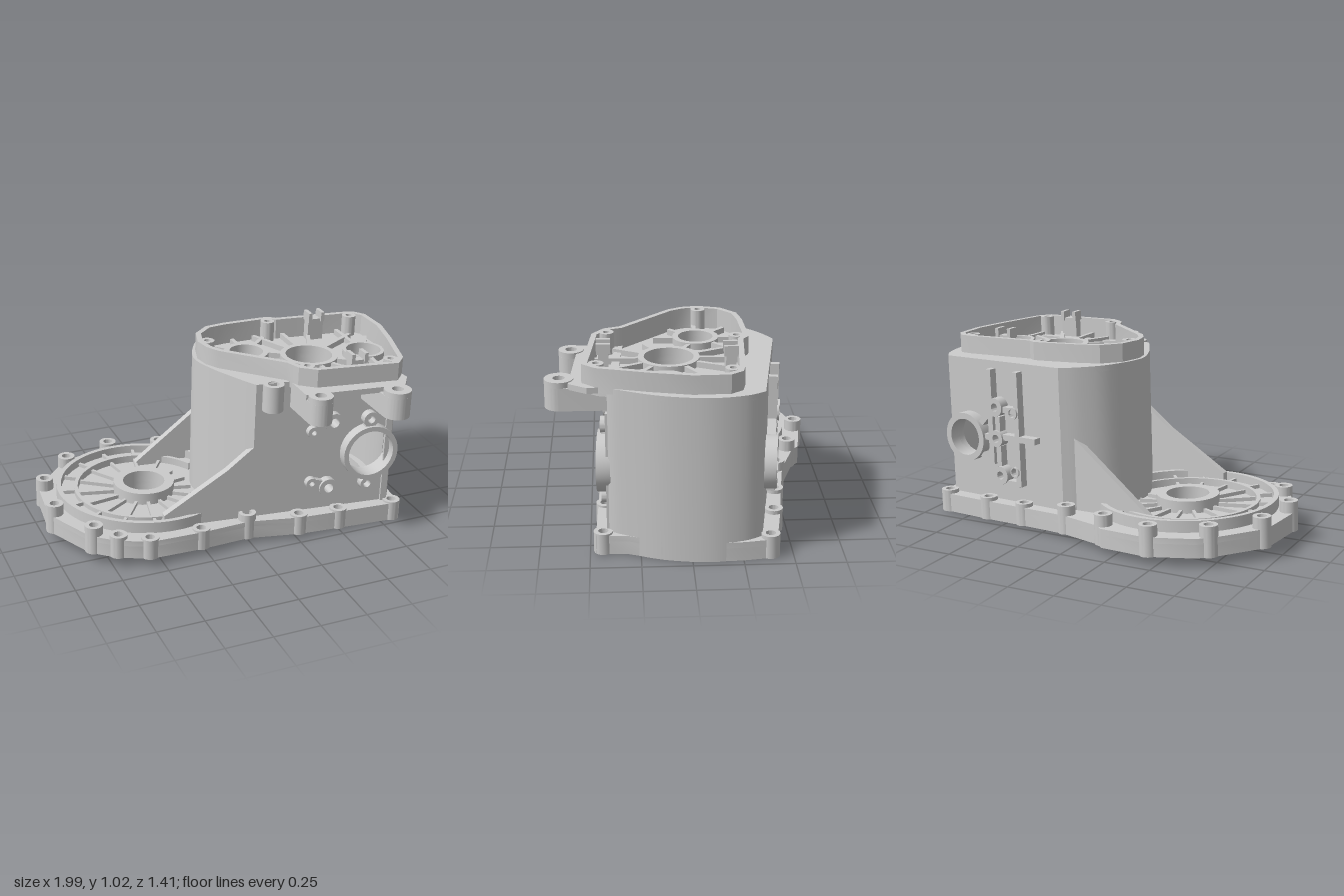
import * as THREE from 'three';
import { toCreasedNormals } from 'three/addons/utils/BufferGeometryUtils.js';

const mat = new THREE.MeshStandardMaterial({ color: 0xcccccc, side: THREE.DoubleSide });
const V = (x, y) => new THREE.Vector2(x, y);
const pts = (a) => a.map(([x, y]) => V(x, y));

function mesh(parent, name, geo) {
  const m = new THREE.Mesh(geo, mat);
  m.name = name;
  parent.add(m);
  return m;
}

function circle(x, y, r, from = 0, to = 360, n = 32) {
  const out = [], full = to - from === 360;
  for (let i = 0; i < (full ? n : n + 1); i++) {
    const a = THREE.MathUtils.degToRad(from + (to - from) * i / n);
    out.push(V(x + r * Math.cos(a), y + r * Math.sin(a)));
  }
  return out;
}

// Moves every corner of a closed outline inward by d (outward if negative)
function inset(poly, d) {
  const s = Math.sign(THREE.ShapeUtils.area(poly)), n = poly.length;
  const normal = (a, b) => V(-(b.y - a.y), b.x - a.x).normalize().multiplyScalar(s);
  return poly.map((p, i) => {
    const n1 = normal(poly[(i + n - 1) % n], p), n2 = normal(p, poly[(i + 1) % n]);
    return p.clone().addScaledVector(n1.clone().add(n2), d / (1 + n1.dot(n2)));
  });
}

// Outline with holes, extruded along z from a to b
function solid(outline, holes, a, b) {
  const shape = new THREE.Shape(outline);
  shape.holes = holes.map((h) => new THREE.Path(h));
  const geo = new THREE.ExtrudeGeometry(shape, { depth: b - a, bevelEnabled: false });
  return toCreasedNormals(geo.translate(0, 0, a), 0.5);
}

// Plan outline in (x, z), extruded upward from y0 to y1
function prism(parent, name, outline, holes, y0, y1) {
  const flip = (l) => l.map((p) => V(p.x, -p.y));
  return mesh(parent, name, solid(flip(outline), holes.map(flip), y0, y1).rotateX(-Math.PI / 2));
}
const tube = (parent, name, x, z, r, hole, y0, y1) =>
  prism(parent, name, circle(x, z, r), [circle(x, z, hole)], y0, y1);

// Straight rib leaving (x, z) at an angle in plan
function rib(parent, name, x, z, deg, r0, r1, y0, y1, w = 0.016) {
  const a = THREE.MathUtils.degToRad(deg), r = (r0 + r1) / 2;
  const m = mesh(parent, name, new THREE.BoxGeometry(r1 - r0, y1 - y0, w));
  m.position.set(x + r * Math.cos(a), (y0 + y1) / 2, z + r * Math.sin(a));
  m.rotation.y = -a;
}

// Upright wall from p0 to p1, built in its own frame with z pointing outward
function wallPanel(parent, name, p0, p1, outline, holes) {
  const g = new THREE.Group();
  g.name = name;
  g.position.set(p0.x, 0, p0.y);
  g.rotation.y = Math.atan2(p0.y - p1.y, p1.x - p0.x);
  mesh(g, name + 'Plate', solid(pts(outline), holes.map((h) => circle(...h)), -0.04, 0));
  parent.add(g);
  return g;
}
const wallBoss = (g, name, u, y, r, hole, h) =>
  mesh(g, name, solid(circle(u, y, r), [circle(u, y, hole)], -0.01, h));
function wallBar(g, name, u0, y0, u1, y1, w, h) {
  const m = mesh(g, name, new THREE.BoxGeometry(Math.hypot(u1 - u0, y1 - y0), w, h));
  m.position.set((u0 + u1) / 2, (y0 + y1) / 2, h / 2);
  m.rotation.z = Math.atan2(y1 - y0, u1 - u0);
}

export function createModel() {
  const root = new THREE.Group();
  root.name = 'gearboxHousing';
  const g = new THREE.Group();
  g.name = 'housing';
  g.rotation.z = -0.031;
  g.position.y = 0.03;
  root.add(g);

  // Plan outline of the tall body
  const left = new THREE.SplineCurve(pts([[0.14, -0.46], [0.04, -0.4], [-0.07, -0.29], [-0.15, -0.1],
    [-0.12, 0.06], [-0.03, 0.26], [0.02, 0.35]])).getPoints(24);
  const right = new THREE.SplineCurve(pts([[0.8, 0.405], [0.845, 0.34], [0.93, 0.14], [0.965, -0.08],
    [0.94, -0.25], [0.89, -0.345]])).getPoints(20);
  const body = [...left, ...right], inner = inset(body, 0.04), nl = left.length;
  prism(g, 'bodyLeftWall', [...left, ...inner.slice(0, nl).reverse()], [], 0.07, 0.86);
  prism(g, 'bodyRightWall', [...right, ...inner.slice(nl).reverse()], [], 0, 0.86);

  // Bolt flange: x, z and boss height; height 0 marks a plain corner
  const bolts = [[-0.45, -0.66, 0.16], [-0.2, -0.625, 0], [-0.165, -0.59, 0.16], [0.1, -0.5, 0.15],
    [0.38, -0.46, 0.12], [0.62, -0.43, 0.12], [0.9, -0.385, 0.12], [0.92, -0.25, 0], [0.928, -0.08, 0],
    [0.893, 0.14, 0], [0.83, 0.3, 0], [0.82, 0.435, 0.11], [0.5, 0.425, 0.11], [0.27, 0.415, 0.11],
    [-0.01, 0.365, 0.14], [-0.28, 0.39, 0.11], [-0.565, 0.395, 0.11], [-0.715, 0.33, 0.12],
    [-0.82, 0.245, 0.15], [-0.95, -0.03, 0.16], [-0.92, -0.33, 0.16], [-0.73, -0.555, 0.16],
    [-0.67, -0.595, 0]];
  const flange = inset(pts(bolts), -0.035);
  const bosses = bolts.filter((b) => b[2]);
  const boltHoles = bosses.map(([x, z]) => circle(x, z, 0.025, 0, 360, 20));
  const cx = -0.42, cz = -0.117;
  prism(g, 'flangeSkirt', flange, [inset(flange, 0.075), ...boltHoles], 0, 0.07);
  prism(g, 'flangePlate', flange, [inset(body, 0.03), circle(cx, cz, 0.113), ...boltHoles], 0.07, 0.1);
  bosses.forEach(([x, z, h]) => tube(g, 'flangeBoss', x, z, 0.047, 0.025, 0, h));

  // Round clutch cover: concentric rings, hub and ribs on both faces
  const ring = (name, r0, r1, from, to, y0, y1) => prism(g, name,
    [...circle(cx, cz, r1, from, to, 64), ...circle(cx, cz, r0, from, to, 64).reverse()], [], y0, y1);
  ring('coverRim', 0.45, 0.476, 38, 328, 0.09, 0.16);
  ring('coverStep', 0.372, 0.45, 32, 333, 0.09, 0.115);
  ring('coverInnerRing', 0.36, 0.38, 31, 334, 0.03, 0.14);
  tube(g, 'coverHub', cx, cz, 0.165, 0.113, 0.03, 0.165);
  for (let i = 0; i < 16; i++) {
    const a = 11 + i * 22.5, nearBody = a < 35 || a > 325;
    rib(g, 'coverRib', cx, cz, a, 0.155, nearBody ? 0.26 : 0.37, 0.09, 0.12);
    rib(g, 'coverUnderRib', cx, cz, a, 0.155, nearBody ? 0.26 : 0.37, 0.045, 0.08);
    if (!nearBody) rib(g, 'coverOuterRib', cx, cz, a, 0.37, 0.46, 0.045, 0.135);
  }

  // Front wall with its gusset, bearing opening and bolt brackets
  const fl = left[nl - 1], L = fl.distanceTo(right[0]);
  const front = wallPanel(g, 'frontWall', fl, right[0],
    [[-0.48, 0.17], [-0.48, 0.07], [L, 0.07], [L, 0.86], [0, 0.86], [0, 0.505], [-0.14, 0.39]],
    [[0.645, 0.42, 0.128], [0.43, 0.615, 0.026], [0.42, 0.234, 0.026]]);
  wallBoss(front, 'frontBearingRing', 0.645, 0.42, 0.155, 0.128, 0.06);
  [[0.641, 0.61, 0.042], [0.643, 0.23, 0.038]].forEach(([u, y, r]) => {
    wallBoss(front, 'frontScrewBoss', u, y, r, 0.02, 0.045);
    wallBar(front, 'frontBossWeb', u, y + Math.sign(0.42 - y) * 0.03, u, 0.42 + Math.sign(y - 0.42) * 0.14, 0.06, 0.04);
  });
  [[0.43, 0.615, 0.32, 0.566], [0.42, 0.234, 0.326, 0.266]].forEach(([u, y, u2, y2]) => {
    wallBoss(front, 'bracketBoss', u, y, 0.052, 0.026, 0.045);
    wallBoss(front, 'bracketEnd', u2, y2, 0.032, 0.014, 0.035);
    const t = 0.35, e = 0.18;
    wallBar(front, 'bracketLink', u + (u2 - u) * t, y + (y2 - y) * t, u2 + (u - u2) * e, y2 + (y - y2) * e, 0.058, 0.033);
  });
  wallBar(front, 'frontEdgeRib', L - 0.02, 0.08, L - 0.02, 0.72, 0.035, 0.012);

  // Back wall with bearing opening and rib lattice
  const br = right[right.length - 1], B = br.distanceTo(left[0]);
  const back = wallPanel(g, 'backWall', br, left[0],
    [[0, 0.07], [B, 0.07], [B, 0.86], [0, 0.86]],
    [[0.145, 0.435, 0.1], [0.36, 0.62, 0.022], [0.38, 0.25, 0.022]]);
  wallBoss(back, 'backBearingRing', 0.145, 0.435, 0.133, 0.1, 0.06);
  [[0.36, 0.62, 0.05], [0.36, 0.45, 0.045], [0.38, 0.25, 0.05], [0.48, 0.6, 0.032], [0.48, 0.28, 0.028]]
    .forEach(([u, y, r]) => wallBoss(back, 'backBoss', u, y, r, 0.022, 0.055));
  [[0.32, 0.2, 0.32, 0.82], [0.5, 0.2, 0.5, 0.82], [0.4, 0.46, 0.62, 0.46], [0.41, 0.61, 0.5, 0.61],
    [0.32, 0.21, 0.5, 0.21], [0.27, 0.45, 0.32, 0.45], [0.25, 0.52, 0.32, 0.59], [0.25, 0.35, 0.34, 0.28],
    [0.37, 0.49, 0.37, 0.57], [0.37, 0.3, 0.37, 0.41]]
    .forEach((b) => wallBar(back, 'backRib', ...b, 0.032, 0.045));

  // Gusset running from the curved wall down to the round cover
  wallPanel(g, 'backGusset', V(0.095, -0.425), V(-0.36, -0.46),
    [[0, 0.09], [0.456, 0.09], [0.456, 0.12], [0, 0.5]], []);

  // Top deck, mounting ears and raised rim
  const rim = pts([[-0.135, -0.08], [-0.1, -0.2], [-0.01, -0.28], [0.1, -0.3], [0.31, -0.31], [0.37, -0.31],
    [0.41, -0.28], [0.8, -0.255], [0.87, -0.24], [0.915, -0.18], [0.92, 0], [0.875, 0.2], [0.8, 0.46],
    [0.74, 0.525], [0.3, 0.48], [0.22, 0.42], [0.19, 0.34], [-0.08, 0.08], [-0.12, 0.01]]);
  const cavity = inset(rim, 0.028);
  const shelf = pts([[0.205, 0.365], [0.205, 0.55], [0.62, 0.58], [0.75, 0.59], [0.81, 0.5]]);
  prism(g, 'topDeck', [...left, ...shelf, ...right], [cavity], 0.83, 0.86);
  prism(g, 'topRim', rim, [cavity], 0.83, 0.957);
  [[0.27, 0.585, 0.064], [0.68, 0.635, 0.072]].forEach(([x, z, r]) => {
    const block = [...circle(x, z, r, 0, 180), V(x - r, 0.37), V(x + r, 0.37)];
    prism(g, 'mountingEar', block, [circle(x, z, 0.03)], 0.72, 0.835);
    tube(g, 'mountingEarTop', x, z, r, 0.03, 0.82, 0.865);
  });
  tube(g, 'sideEar', 0.105, 0.375, 0.055, 0.03, 0.72, 0.865);

  // Recessed floor with three bearing seats and radiating ribs
  const seats = [[0.137, -0.055, 0.09], [0.437, 0.095, 0.125], [0.752, 0.12, 0.093]];
  prism(g, 'bearingFloor', inset(rim, 0.015), seats.map((s) => circle(...s)), 0.81, 0.845);
  seats.forEach(([x, z, r], i) => tube(g, 'bearingSeat', x, z, r + (i === 2 ? 0.02 : 0.03), r, 0.74, 0.88));
  const floorRibs = [
    [[180, 0.21], [135, 0.19], [90, 0.22], [-90, 0.2], [-135, 0.22], [-45, 0.26]],
    [[90, 0.37], [62, 0.4], [118, 0.34], [-90, 0.35], [-65, 0.38], [-115, 0.4], [-32, 0.42], [35, 0.32],
      [-150, 0.22], [150, 0.24]],
    [[-90, 0.33], [-60, 0.22], [95, 0.28]]];
  floorRibs.forEach((list, i) => list.forEach(([a, r1]) =>
    rib(g, 'floorRib', seats[i][0], seats[i][1], a, seats[i][2] + 0.01, r1, 0.84, 0.875, 0.022)));
  [[0.345, -0.25], [0.82, -0.195], [-0.08, -0.08], [0.275, 0.405], [0.73, 0.455]]
    .forEach(([x, z]) => tube(g, 'rimScrewBoss', x, z, 0.038, 0.017, 0.835, 0.957));

  // Forked posts standing inside the rim
  [[0.605, -0.2], [0.55, 0.42]].forEach(([x, z]) => {
    const box = (name, dx, w, y0, y1, d) =>
      mesh(g, name, new THREE.BoxGeometry(w, y1 - y0, d)).position.set(x + dx, (y0 + y1) / 2, z);
    box('forkPost', 0, 0.09, 0.835, 0.965, 0.05);
    [-1, 1].forEach((s) => box('forkProng', s * 0.037, 0.02, 0.95, 1.003, 0.07));
  });
  return root;
}
